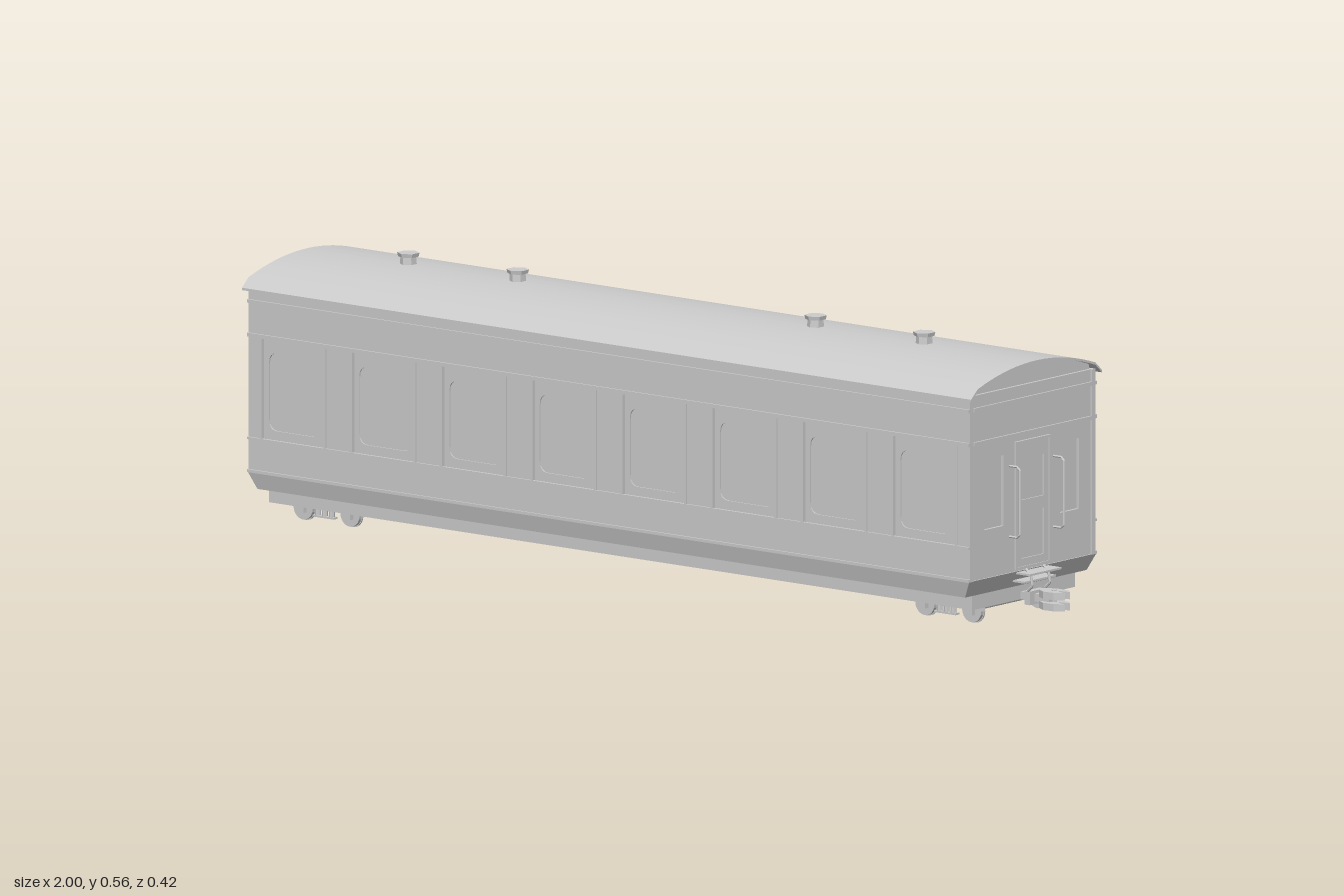
import * as THREE from 'three';

const mat = new THREE.MeshStandardMaterial({ color: 0xcccccc, flatShading: true, side: THREE.DoubleSide });

function add(parent, name, geo, x = 0, y = 0, z = 0) {
  const m = new THREE.Mesh(geo, mat);
  m.name = name;
  m.position.set(x, y, z);
  parent.add(m);
  return m;
}

// box given by its limits on each axis
function box(parent, name, x0, x1, y0, y1, z0, z1) {
  return add(parent, name, new THREE.BoxGeometry(x1 - x0, y1 - y0, z1 - z0),
    (x0 + x1) / 2, (y0 + y1) / 2, (z0 + z1) / 2);
}

function tube(parent, name, pts, r) {
  const path = new THREE.CurvePath();
  const v = pts.map(p => new THREE.Vector3(...p));
  for (let i = 1; i < v.length; i++) path.add(new THREE.LineCurve3(v[i - 1], v[i]));
  return add(parent, name, new THREE.TubeGeometry(path, 16, r, 6));
}

function rect(Type, x0, x1, y0, y1, r = 0) {
  const s = new Type();
  if (!r) {
    s.moveTo(x0, y0); s.lineTo(x1, y0); s.lineTo(x1, y1); s.lineTo(x0, y1); s.closePath();
    return s;
  }
  s.moveTo(x0 + r, y0);
  s.lineTo(x1 - r, y0); s.quadraticCurveTo(x1, y0, x1, y0 + r);
  s.lineTo(x1, y1 - r); s.quadraticCurveTo(x1, y1, x1 - r, y1);
  s.lineTo(x0 + r, y1); s.quadraticCurveTo(x0, y1, x0, y1 - r);
  s.lineTo(x0, y0 + r); s.quadraticCurveTo(x0, y0, x0 + r, y0);
  return s;
}

const extrude = (shape, depth) =>
  new THREE.ExtrudeGeometry(shape, { depth, bevelEnabled: false, curveSegments: 4 });

// extrusion running along x, centred; shape is drawn in (z, y)
const alongX = (shape, len) => extrude(shape, len).translate(0, 0, -len / 2).rotateY(Math.PI / 2);

// roof height at distance z from the centre line
const roofY = z => 0.533 - 0.92 * z * z - (Math.abs(z) > 0.19 ? (Math.abs(z) - 0.19) * 0.6 : 0);

function arch(half, drop, n = 20) {
  const pts = [];
  for (let i = 0; i <= n; i++) {
    const z = half - 2 * half * i / n;
    pts.push(new THREE.Vector2(z, roofY(z) - drop));
  }
  return pts;
}

// one long side, facing +z
function side() {
  const g = new THREE.Group();
  g.name = 'sideWall';
  const skin = rect(THREE.Shape, -0.94, 0.94, 0.105, 0.485);
  for (let i = 0; i < 8; i++) {
    const c = (i - 3.5) * 0.235, w = 0.083;
    skin.holes.push(rect(THREE.Path, c - w, c + w, 0.175, 0.385));
    // window surround with a rounded opening
    const frame = rect(THREE.Shape, c - w, c + w, 0.175, 0.385);
    frame.holes.push(rect(THREE.Path, c - 0.069, c + 0.069, 0.195, 0.355, 0.022));
    add(g, 'windowFrame', extrude(frame, 0.003), 0, 0, 0.19);
    for (const s of [-1, 1])
      box(g, 'windowBead', c + s * w - 0.003, c + s * w + 0.003, 0.175, 0.385, 0.195, 0.203);
  }
  add(g, 'sidePanel', extrude(skin, 0.012), 0, 0, 0.188);
  for (const [y, h] of [[0.456, 0.007], [0.387, 0.008], [0.175, 0.005], [0.108, 0.006]])
    box(g, 'sideMoulding', -0.94, 0.94, y - h / 2, y + h / 2, 0.198, 0.204);
  box(g, 'sideSill', -0.916, 0.916, 0.04, 0.072, 0.153, 0.163);
  return g;
}

// one end wall, facing +x
function end() {
  const g = new THREE.Group();
  g.name = 'endWall';
  // panelled skin with two sunk panels
  const skin = rect(THREE.Shape, -0.187, 0.187, 0.105, 0.485);
  for (const s of [-1, 1])
    skin.holes.push(rect(THREE.Path, Math.min(s * 0.09, s * 0.15), Math.max(s * 0.09, s * 0.15), 0.205, 0.35));
  add(g, 'endPanel', extrude(skin, 0.007).rotateY(Math.PI / 2), 0.93);
  for (const y of [0.386, 0.456])
    box(g, 'endMoulding', 0.935, 0.941, y - 0.004, y + 0.004, -0.187, 0.187);
  // door with two sunk panels in a raised frame
  const frame = rect(THREE.Shape, -0.055, 0.055, 0.11, 0.372);
  frame.holes.push(rect(THREE.Path, -0.05, 0.05, 0.114, 0.367));
  add(g, 'doorFrame', extrude(frame, 0.006).rotateY(Math.PI / 2), 0.936);
  const door = rect(THREE.Shape, -0.05, 0.05, 0.114, 0.367);
  door.holes.push(rect(THREE.Path, -0.035, 0.035, 0.25, 0.335), rect(THREE.Path, -0.035, 0.035, 0.13, 0.225));
  add(g, 'door', extrude(door, 0.004).rotateY(Math.PI / 2), 0.936);
  // foot plates below the door
  box(g, 'footPlate', 0.93, 0.974, 0.1, 0.104, -0.05, 0.05);
  box(g, 'lowerFootPlate', 0.925, 0.96, 0.083, 0.087, -0.05, 0.05);
  for (const s of [-1, 1]) {
    tube(g, 'handrail', [[0.93, 0.325, s * 0.07], [0.964, 0.325, s * 0.07],
      [0.964, 0.18, s * 0.07], [0.93, 0.18, s * 0.07]], 0.0025);
    tube(g, 'stepHook', [[0.945, 0.108, s * 0.028], [0.958, 0.1, s * 0.028],
      [0.962, 0.075, s * 0.028], [0.95, 0.064, s * 0.028]], 0.0028);
  }
  box(g, 'endBeam', 0.906, 0.916, 0.04, 0.072, -0.163, 0.163);
  return g;
}

function bogie() {
  const g = new THREE.Group();
  g.name = 'bogie';
  for (const x of [-0.061, 0.061]) {
    add(g, 'axle', new THREE.CylinderGeometry(0.004, 0.004, 0.23, 8).rotateX(Math.PI / 2), x, 0.028);
    for (const s of [-1, 1]) {
      add(g, 'wheel', new THREE.CylinderGeometry(0.025, 0.025, 0.008, 20).rotateX(Math.PI / 2), x, 0.027, s * 0.106);
      add(g, 'wheelFlange', new THREE.CylinderGeometry(0.027, 0.027, 0.003, 20).rotateX(Math.PI / 2), x, 0.027, s * 0.101);
      box(g, 'axleBox', x - 0.009, x + 0.009, 0.018, 0.036, s * 0.115 - 0.005, s * 0.115 + 0.005);
    }
  }
  for (const s of [-1, 1]) {
    box(g, 'bogieFrame', -0.078, 0.078, 0.034, 0.041, s * 0.115 - 0.003, s * 0.115 + 0.003);
    for (const x of [-0.018, 0, 0.018])
      add(g, 'spring', new THREE.CylinderGeometry(0.006, 0.006, 0.018, 8), x, 0.026, s * 0.115);
    box(g, 'springPlank', -0.028, 0.028, 0.014, 0.018, s * 0.115 - 0.006, s * 0.115 + 0.006);
  }
  box(g, 'bolster', -0.018, 0.018, 0.03, 0.042, -0.115, 0.115);
  box(g, 'brakeBlock', -0.03, 0.03, 0.022, 0.038, -0.055, 0.055);
  add(g, 'pivot', new THREE.CylinderGeometry(0.02, 0.02, 0.034, 12), 0, 0.055);
  return g;
}

export function createModel() {
  const model = new THREE.Group();
  model.name = 'railwayCarriage';
  const car = new THREE.Group();
  car.name = 'carriage';
  car.position.x = -0.03;
  model.add(car);

  // inner body, following the underside of the roof
  const pts = [new THREE.Vector2(-0.19, 0.1), new THREE.Vector2(0.19, 0.1), ...arch(0.19, 0.003)];
  add(car, 'body', alongX(new THREE.Shape(pts), 1.862));

  // tapered skirt under the body
  const skirt = new THREE.BoxGeometry(1.88, 0.035, 0.404);
  const p = skirt.attributes.position;
  for (let i = 0; i < p.count; i++)
    if (p.getY(i) < 0) p.setXYZ(i, Math.sign(p.getX(i)) * 0.922, p.getY(i), Math.sign(p.getZ(i)) * 0.193);
  add(car, 'skirt', skirt, 0, 0.0885);

  // thin arched roof with overhanging eaves
  add(car, 'roof', alongX(new THREE.Shape([...arch(0.208, 0), ...arch(0.208, 0.005).reverse()]), 1.9));

  for (const turn of [0, Math.PI]) {
    for (const part of [side(), end()]) {
      part.rotation.y = turn;
      car.add(part);
    }
    const b = bogie();
    b.position.x = turn ? -0.81 : 0.81;
    car.add(b);
  }
  box(car, 'centreSill', -0.9, 0.9, 0.055, 0.072, -0.008, 0.008);

  // roof ventilators
  for (const x of [-0.687, -0.402, 0.374, 0.657]) {
    add(car, 'ventilatorNeck', new THREE.CylinderGeometry(0.016, 0.018, 0.026, 6), x, 0.537);
    add(car, 'ventilatorCap', new THREE.CylinderGeometry(0.023, 0.021, 0.008, 6), x, 0.552);
  }

  // coupler on the +x end
  const coupler = new THREE.Group();
  coupler.name = 'coupler';
  car.add(coupler);
  box(coupler, 'couplerShank', 0.85, 0.99, 0.04, 0.056, -0.009, 0.009);
  box(coupler, 'couplerCollar', 0.938, 0.952, 0.034, 0.062, -0.024, 0.024);
  const jaw = new THREE.Shape([[0.965, -0.01], [0.985, -0.022], [1.01, -0.02], [1.03, -0.008], [1.012, -0.004],
    [1.005, 0.004], [1.03, 0.008], [1.018, 0.02], [0.985, 0.022], [0.965, 0.01]].map(q => new THREE.Vector2(...q)));
  for (const y of [0.028, 0.051])
    add(coupler, 'couplerJaw', extrude(jaw, 0.015).rotateX(-Math.PI / 2), 0, y);
  add(coupler, 'couplerPin', new THREE.CylinderGeometry(0.005, 0.005, 0.044, 8), 0.995, 0.046);

  return model;
}
